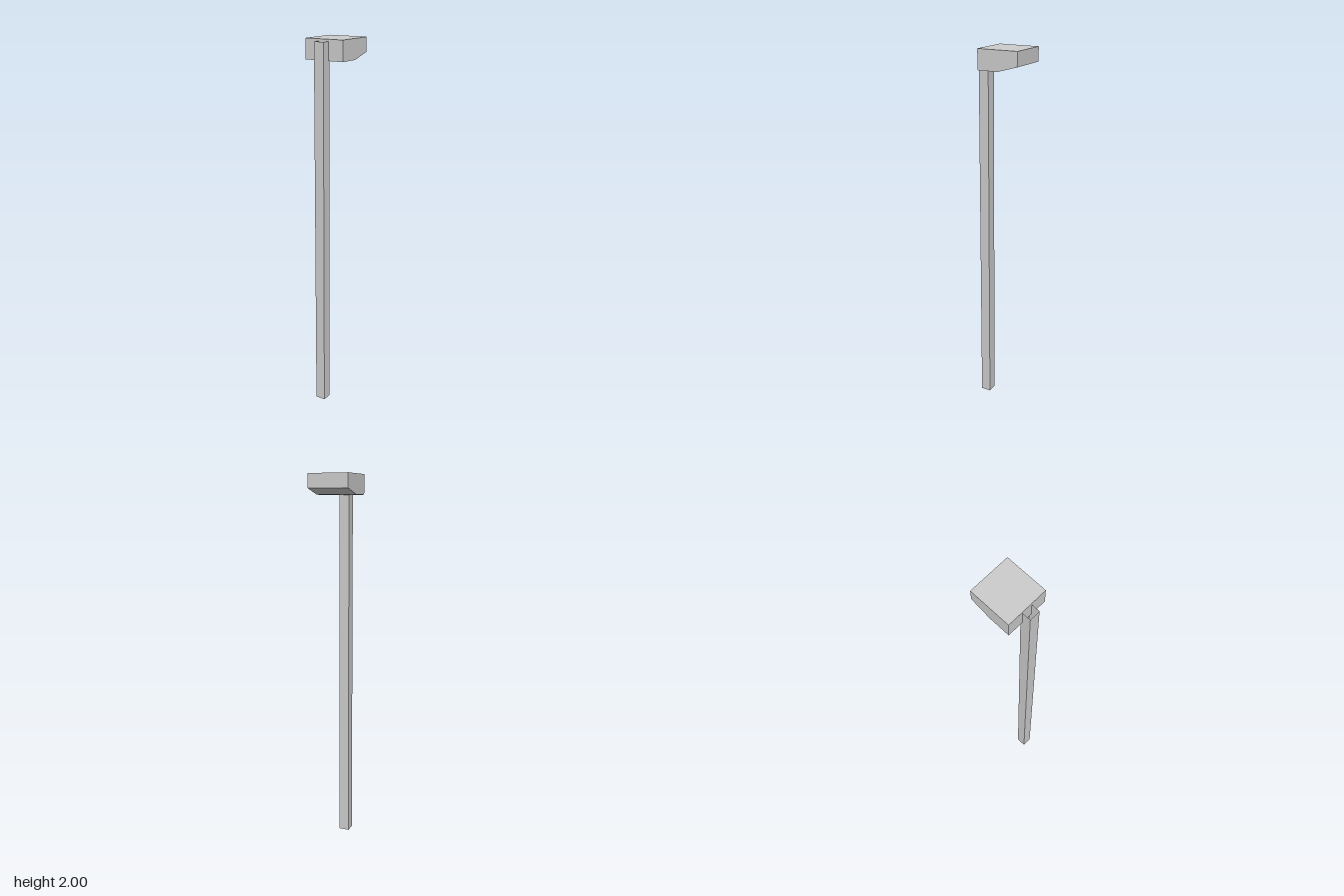
import * as THREE from 'three';

export function createModel() {
  const group = new THREE.Group();
  const material = new THREE.MeshStandardMaterial({ color: 0xcccccc, flatShading: true });
  const tubeMaterial = material.clone();
  tubeMaterial.side = THREE.DoubleSide;

  // Post: square tube, open at both ends, leaning very slightly back
  const width = 0.055, height = 1.99, lean = 0.006;
  const radius = width / Math.SQRT2;
  const postGeometry = new THREE.CylinderGeometry(radius, radius, height, 4, 1, true);
  postGeometry.rotateY(Math.PI / 4).translate(0, height / 2, 0);
  const p = postGeometry.attributes.position;
  for (let i = 0; i < p.count; i++) p.setZ(i, p.getZ(i) - lean * p.getY(i) / height);
  const post = new THREE.Mesh(postGeometry, tubeMaterial);
  post.name = 'post';
  post.position.set(-0.001, 0, 0.1085);
  group.add(post);

  // Lamp head: side profile (z, y) with an underside that rises to the back
  const profile = new THREE.Shape([
    [0.086, 1.896], [0.086, 2], [-0.136, 2], [-0.136, 1.926], [-0.027, 1.896],
  ].map(([z, y]) => new THREE.Vector2(z, y)));
  const headGeometry = new THREE.ExtrudeGeometry(profile, { depth: 0.22, bevelEnabled: false });
  headGeometry.translate(0, 0, -0.11).rotateY(-Math.PI / 2);
  const head = new THREE.Mesh(headGeometry, material);
  head.name = 'lampHead';
  group.add(head);

  return group;
}
